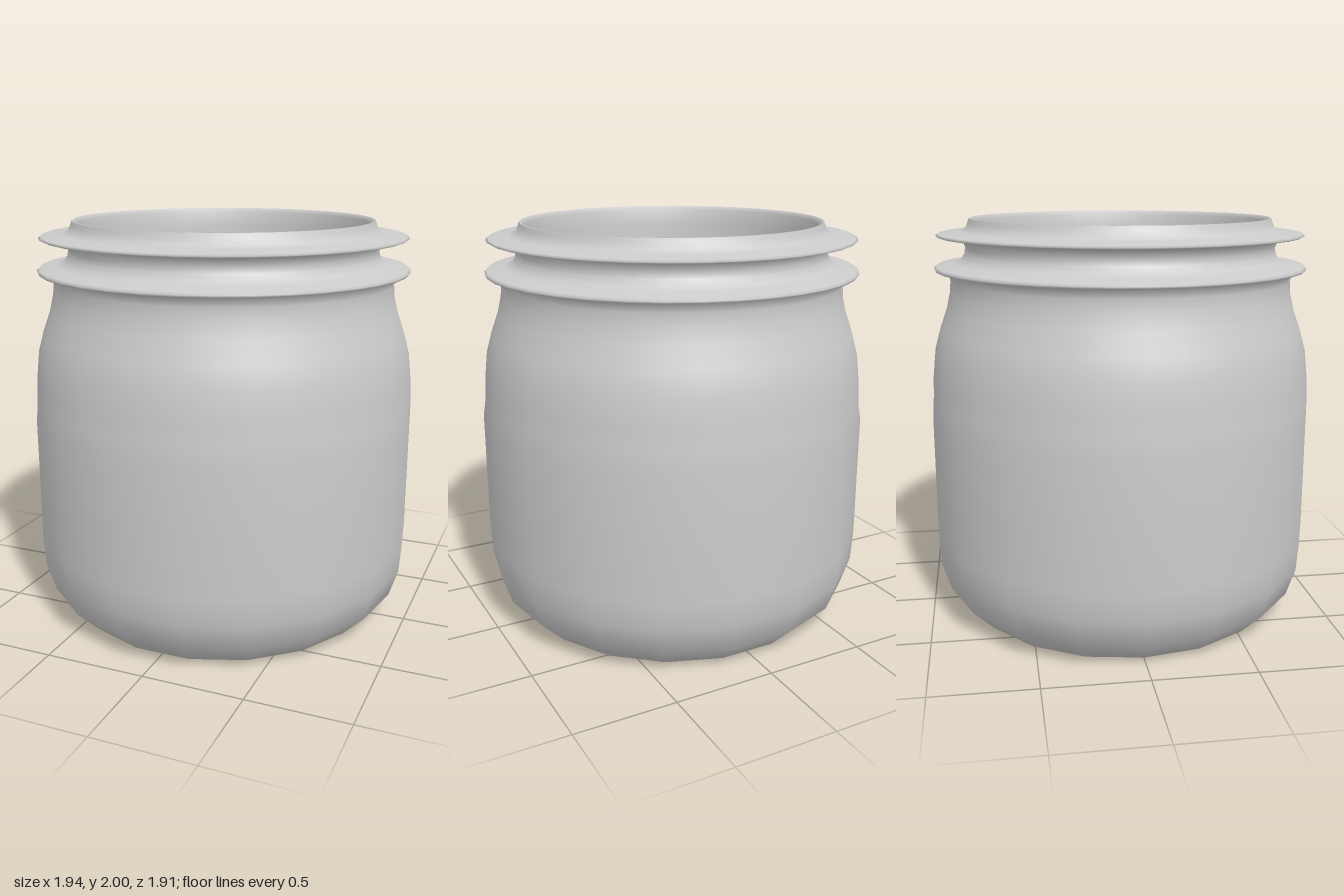
import * as THREE from 'three';

export function createModel() {
  const group = new THREE.Group();
  group.name = 'openJar';

  // Closed wall profile [radius, height]; a repeated point makes a crease
  const base = [[0.62, 0.05], [0.62, 0], [0.62, 0], [0.8, 0.005], [0.915, 0.12]];
  const body = [[0.96, 0.26], [0.97, 0.4], [0.97, 0.72], [0.97, 1.03]];
  const shoulder = [[0.957, 1.11], [0.952, 1.22], [0.936, 1.36], [0.908, 1.46],
    [0.872, 1.56], [0.853, 1.64], [0.848, 1.7], [0.857, 1.735]];
  const lowerFlange = [[0.88, 1.75], [0.92, 1.752], [0.925, 1.762], [0.915, 1.773],
    [0.83, 1.785], [0.795, 1.8]];
  const neck = [[0.775, 1.83], [0.77, 1.86], [0.782, 1.895]];
  const upperFlange = [[0.81, 1.907], [0.9, 1.913], [0.912, 1.92], [0.9, 1.928],
    [0.8, 1.938], [0.768, 1.95]];
  const lip = [[0.755, 1.98], [0.748, 2], [0.748, 2], [0.737, 2]];
  const inside = [[0.725, 1.98], [0.715, 1.9], [0.7, 1.4], [0.692, 0.7],
    [0.69, 0.05], [0.69, 0.05], [0.62, 0.05]];
  const profile = [base, body, shoulder, lowerFlange, neck, upperFlange, lip, inside]
    .flat().map(([r, y]) => new THREE.Vector2(r, y));

  const sides = 36;
  const geometry = new THREE.LatheGeometry(profile, sides, Math.PI / 2);

  // The lower body and floor hole have half as many sides:
  // every second vertex drops onto the chord between its neighbours
  const pos = geometry.attributes.position;
  const flatten = Math.cos((2 * Math.PI) / sides);
  for (let i = 0; i <= sides; i++) {
    if (i % 2 === 0) continue;
    profile.forEach((p, j) => {
      const outerOrHole = p.x > 0.75 || p.x < 0.63;
      if (p.y > 1.05 || !outerOrHole) return;
      const k = i * profile.length + j;
      pos.setX(k, pos.getX(k) * flatten);
      pos.setZ(k, pos.getZ(k) * flatten);
    });
  }

  const jar = new THREE.Mesh(
    geometry,
    new THREE.MeshStandardMaterial({ color: 0xcccccc, side: THREE.DoubleSide })
  );
  jar.name = 'jarWall';
  group.add(jar);
  return group;
}
